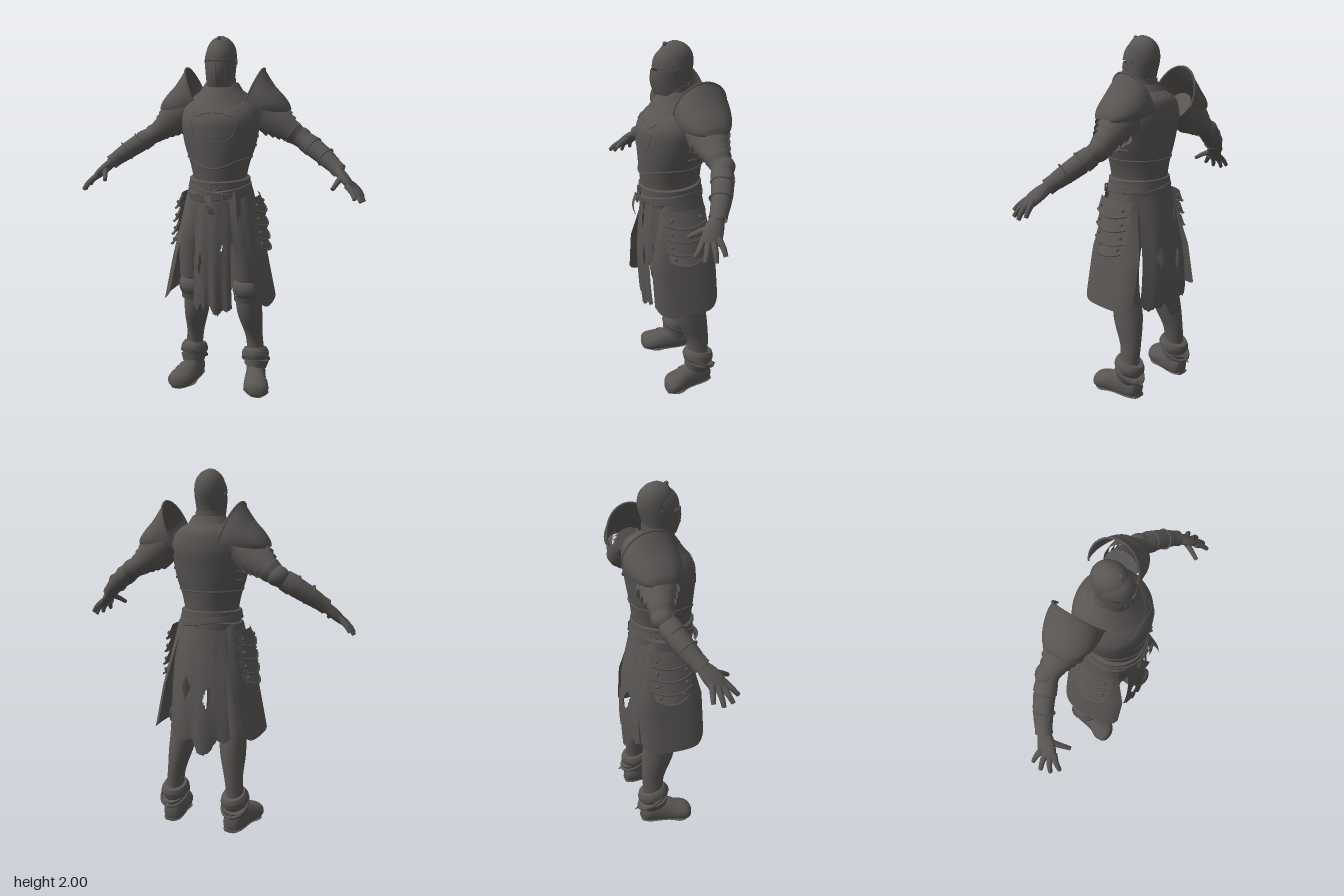
import * as THREE from 'three';
import { mergeVertices, toCreasedNormals } from 'three/addons/utils/BufferGeometryUtils.js';

const V = (x, y, z) => new THREE.Vector3(x, y, z);
const { sin, cos, PI, abs, min, max } = Math;

// refine rows of numbers with a Catmull-Rom spline
function spline(rows, k = 4) {
  const out = [], n = rows.length - 1;
  for (let i = 0; i < n; i++) for (let s = 0; s < k; s++) {
    const t = s / k, a = rows[max(i - 1, 0)], b = rows[i], c = rows[i + 1], d = rows[min(i + 2, n)];
    out.push(b.map((p, j) => 0.5 * (2 * p + (c[j] - a[j]) * t + (2 * a[j] - 5 * p + 4 * c[j] - d[j]) * t * t
      + (3 * p - a[j] - 3 * c[j] + d[j]) * t * t * t)));
  }
  return [...out, rows[n]];
}

// grid surface from fn(u, v), leaving out the cells where skip(i, j) holds
function sheet(nu, nv, fn, skip = () => false, wrap = false) {
  const pos = [], idx = [], w = wrap ? nu : nu + 1;
  for (let j = 0; j <= nv; j++) for (let i = 0; i < w; i++) pos.push(...fn(i / nu, j / nv, i, j));
  for (let j = 0; j < nv; j++) for (let i = 0; i < nu; i++) {
    if (skip(i, j)) continue;
    const a = j * w + i, d = j * w + (i + 1) % w, b = a + w, c = d + w;
    idx.push(a, b, c, a, c, d);
  }
  const g = new THREE.BufferGeometry();
  g.setAttribute('position', new THREE.Float32BufferAttribute(pos, 3));
  g.setIndex(idx);
  g.computeVertexNormals();
  return g;
}

// elliptical sections [x, y, z, ra, rb] swept along their centres
function sweep(rows, { axis, ref = V(0, 0, 1), n = 28, a0 = 0, a1 = 2 * PI, cap = true, k = 4 } = {}) {
  const r = spline(rows, k), closed = a1 - a0 > 6.28;
  if (cap && closed) {
    r.unshift([...r[0].slice(0, 3), 0.0005, 0.0005]);
    r.push([...r[r.length - 1].slice(0, 3), 0.0005, 0.0005]);
  }
  const frames = r.map((_, i) => {
    const p = r[max(i - 2, 0)], q = r[min(i + 2, r.length - 1)];
    const t = axis || V(q[0] - p[0], q[1] - p[1], q[2] - p[2]).normalize();
    const u = t.clone().cross(ref).normalize();
    return [u, u.clone().cross(t)];
  });
  const g = sheet(n, r.length - 1, (u, v, i, j) => {
    const a = a0 + (a1 - a0) * u, [x, y, z, ra, rb] = r[j];
    return V(x, y, z).addScaledVector(frames[j][0], ra * cos(a)).addScaledVector(frames[j][1], rb * sin(a)).toArray();
  }, undefined, closed);
  return toCreasedNormals(g, 0.9);
}
const up = V(0, 1, 0);
// upright sections given as [y, x, z, rx, rz]
const loft = (rows, o = {}) => sweep(rows.map(([y, x, z, a, b]) => [x, y, z, a, b]), { axis: up, ...o });
const cord = (pts, r = 0.005, closed = false) =>
  new THREE.TubeGeometry(new THREE.CatmullRomCurve3(pts, closed), pts.length * 3, r, 6, closed);

export function createModel() {
  const model = new THREE.Group();
  const steel = new THREE.MeshStandardMaterial({ color: 0x585553, side: THREE.DoubleSide });
  steel.name = 'dark steel';
  const add = (name, geo) => {
    const m = new THREE.Mesh(geo, steel);
    m.name = name;
    model.add(m);
  };
  const pair = (name, geo) => {
    add(name + 'Left', geo);
    const g = mergeVertices(geo.clone().scale(-1, 1, 1)), ix = g.index.array;
    for (let i = 0; i < ix.length; i += 3) [ix[i], ix[i + 1]] = [ix[i + 1], ix[i]];
    add(name + 'Right', g);
  };

  // cuirass with trim lines lying on its surface
  const torso = [[1.18, 0, 0.02, 0.15, 0.155], [1.25, 0, 0.02, 0.148, 0.163], [1.33, 0, 0.02, 0.165, 0.17],
    [1.42, 0, 0.015, 0.195, 0.18], [1.5, 0, 0.01, 0.21, 0.188], [1.57, 0, 0, 0.215, 0.19],
    [1.63, 0, -0.02, 0.2, 0.165], [1.68, 0, -0.045, 0.16, 0.125], [1.72, 0, -0.03, 0.1, 0.09]];
  add('cuirass', loft(torso, { n: 48 }));
  const fine = spline(torso, 8);
  const onTorso = (deg, y, off = 0.001) => {
    const i = max(0, fine.findIndex(r => r[0] > y) - 1), f = (y - fine[i][0]) / (fine[i + 1][0] - fine[i][0]);
    const r = fine[i].map((p, j) => p + (fine[i + 1][j] - p) * f), a = deg * PI / 180;
    return V(r[1] + (r[3] + off) * cos(a), y, r[2] + (r[4] + off) * sin(a));
  };
  const around = (f, n = 36) => Array.from({ length: n }, (_, i) => onTorso(i * 360 / n, f(sin(i * 2 * PI / n))));
  add('waistPlateEdge', cord(around(s => 1.36 - 0.05 * max(0, s) ** 4), 0.005, true));
  add('chestPanelEdge', cord([[55, 1.61], [63, 1.585], [76, 1.6], [90, 1.605], [104, 1.6], [117, 1.585], [125, 1.61],
    [124, 1.54], [116, 1.47], [90, 1.455], [64, 1.47], [56, 1.54]].map(p => onTorso(...p)), 0.003, true));
  for (const y of [1.42, 1.47, 1.52]) for (const a of [-18, 198])
    add('sideStrap', cord([-10, -5, 0, 5, 10].map(d => onTorso(a + d, y)), 0.006));

  // layered gorget and neck
  const collar = (y0, y1, r0, r1, dip) => sheet(40, 6, (u, v) => {
    const a = u * 2 * PI, f = max(0, sin(a)) ** 3 * (1 - v), r = r0 + (r1 - r0) * v;
    return [r * cos(a) * 1.05, y0 + (y1 - y0) * v - dip * f, -0.02 + r * sin(a) * 0.95 + 0.03 * f];
  }, undefined, true);
  add('gorgetLower', collar(1.66, 1.725, 0.155, 0.1, 0.04));
  add('gorgetMiddle', collar(1.7, 1.755, 0.118, 0.085, 0.03));
  add('neck', loft([[1.68, 0, -0.01, 0.1, 0.1], [1.72, 0, -0.005, 0.085, 0.085], [1.78, 0, -0.005, 0.078, 0.08]]));

  // helmet with brow plate and pointed visor
  add('helmet', loft([[1.74, 0, 0, 0.07, 0.075], [1.8, 0, -0.003, 0.077, 0.08], [1.88, 0, -0.01, 0.082, 0.096],
    [1.94, 0, -0.01, 0.074, 0.088], [1.98, 0, -0.008, 0.046, 0.056], [1.998, 0, -0.007, 0.012, 0.015]], { n: 36 }));
  add('visor', sheet(28, 8, (u, v) => {
    const a = PI * u, z = 0.095 + 0.022 * sin(v * 2.3);
    return [0.084 * cos(a) * (1 - 0.12 * (1 - v)), 1.735 + 0.125 * v, z * sin(a) ** 0.9 * (1 + 0.06 * sin(a) ** 8)];
  }));
  add('browPlate', sheet(28, 8, (u, v) => {
    const a = PI * u, c = cos(v * 1.35);
    return [0.085 * cos(a) * c, 1.875 + 0.105 * sin(v * 1.35), 0.112 * sin(a) * c];
  }));
  add('visorRidge', cord([V(0, 1.74, 0.103), V(0, 1.8, 0.122), V(0, 1.86, 0.12)], 0.004));
  add('visorSlitEdge', cord([-1, -0.6, 0, 0.6, 1].map(t => V(0.08 * t, 1.874, 0.11 * Math.sqrt(1 - t * t * 0.9))), 0.004));
  add('crestKnob', new THREE.SphereGeometry(0.012, 12, 8).translate(0, 1.985, 0.045));
  for (const y of [1.79, 1.81, 1.83]) for (const x of [-0.045, -0.025, 0.025, 0.045])
    add('visorRivet', new THREE.SphereGeometry(0.004, 6, 5).translate(x, y, 0.119 * Math.sqrt(1 - (x / 0.084) ** 2)));
  pair('visorPivot', new THREE.CylinderGeometry(0.014, 0.014, 0.01, 12).rotateZ(PI / 2).translate(0.083, 1.865, 0));

  // pauldrons: [cx, cy, cz, ry, rz, lean] from the standing rim to the rounded outer tip
  const shoulder = spline([[0.15, 1.67, -0.09, 0.16, 0.14, 0.068], [0.195, 1.655, -0.09, 0.13, 0.143, 0.05],
    [0.25, 1.635, -0.088, 0.1, 0.135, 0.03], [0.305, 1.62, -0.088, 0.07, 0.112, 0.018],
    [0.345, 1.61, -0.09, 0.035, 0.08, 0.012], [0.362, 1.605, -0.09, 0.008, 0.05, 0.005]]);
  const pauldronAt = (u, r) => {
    const a = (u - 0.5) * 3.6;
    return [r[0] + r[5] * cos(a), r[1] + r[3] * cos(a), r[2] + r[4] * sin(a)];
  };
  pair('pauldron', sheet(32, shoulder.length - 1, (u, v, i, j) => pauldronAt(u, shoulder[j])));
  pair('pauldronRim', cord(Array.from({ length: 17 }, (_, i) => V(...pauldronAt(i / 16, shoulder[0]))), 0.006));

  // arms with flared lames, elbow cop and vambrace
  const arm = [[0.2, 1.62, -0.08, 0.08, 0.09], [0.28, 1.56, -0.09, 0.072, 0.078], [0.36, 1.5, -0.1, 0.058, 0.062],
    [0.42, 1.46, -0.1, 0.05, 0.054], [0.5, 1.41, -0.075, 0.049, 0.052], [0.58, 1.355, -0.035, 0.041, 0.045],
    [0.655, 1.295, 0.015, 0.028, 0.032]];
  pair('arm', sweep(arm));
  const armAt = spline(arm, 20);
  const cuff = (i0, i1, o0, o1) => sweep([0, 0.5, 1].map(t => {
    const [x, y, z, a, b] = armAt[Math.round(i0 + (i1 - i0) * t)], o = o0 + (o1 - o0) * t;
    return [x, y, z, a + o, b + o];
  }), { cap: false, k: 2 });
  [[8, 24, 0.018, 0.034], [18, 31, 0.012, 0.024], [26, 38, 0.008, 0.017], [36, 45, 0.004, 0.009], [46, 56, 0.009, 0.003],
    [68, 78, 0.004, 0.008], [80, 108, 0.004, 0.007], [106, 117, 0.004, 0.012]].forEach(c => pair('armPlate', cuff(...c)));
  pair('elbowCop', new THREE.SphereGeometry(0.06, 20, 14).scale(1.05, 0.9, 0.95).translate(0.42, 1.463, -0.112));
  [[0.5, 1.415, -0.07], [0.57, 1.365, -0.035]].forEach(([x, y, z]) =>
    pair('vambraceStrap', new THREE.TorusGeometry(0.052, 0.005, 6, 24).rotateY(PI / 2)
      .applyQuaternion(new THREE.Quaternion().setFromUnitVectors(V(1, 0, 0), V(0.08, -0.055, 0.04).normalize())).translate(x, y, z)));

  // hands
  pair('palm', sweep([[0.64, 1.305, 0.005, 0.026, 0.032], [0.67, 1.275, 0.033, 0.026, 0.046], [0.7, 1.245, 0.057, 0.023, 0.05],
    [0.728, 1.217, 0.072, 0.014, 0.046]], { n: 18 }));
  [[[0.715, 1.24, 0.035], [0.755, 1.205, 0.025], [0.778, 1.17, 0.02]], [[0.718, 1.23, 0.06], [0.765, 1.19, 0.066], [0.788, 1.15, 0.07]],
    [[0.715, 1.225, 0.085], [0.755, 1.19, 0.105], [0.775, 1.155, 0.122]], [[0.7, 1.235, 0.1], [0.73, 1.205, 0.132], [0.745, 1.175, 0.16]],
    [[0.665, 1.272, 0.055], [0.648, 1.25, 0.105], [0.63, 1.222, 0.15]]].forEach(p =>
    pair('finger', sweep(p.map((q, i) => [...q, 0.017 - 0.003 * i, 0.017 - 0.003 * i]), { n: 10, ref: V(0.3, 0.5, 0.8) })));

  // legs, thigh plates, knees
  pair('leg', loft([[1.16, 0.085, 0, 0.08, 0.12], [0.95, 0.125, 0.01, 0.09, 0.115], [0.75, 0.15, 0, 0.08, 0.1],
    [0.6, 0.155, -0.025, 0.074, 0.085], [0.5, 0.155, -0.04, 0.073, 0.094], [0.42, 0.163, -0.055, 0.068, 0.09],
    [0.3, 0.178, -0.085, 0.05, 0.066], [0.2, 0.188, -0.088, 0.05, 0.06], [0.08, 0.19, -0.09, 0.055, 0.068]].reverse()));
  pair('thighPlate', loft([[0.68, 0.153, 0, 0.086, 0.108], [0.8, 0.147, 0.005, 0.092, 0.116], [0.92, 0.132, 0.01, 0.098, 0.123]], { a0: -0.4, a1: 3.5 }));
  pair('kneeCop', new THREE.SphereGeometry(1, 24, 16).scale(0.084, 0.075, 0.075).translate(0.155, 0.615, 0.015));
  [[0.7, 0.66], [0.57, 0.535]].forEach(([a, b]) => pair('kneeLame',
    loft([[b, 0.156, -0.015, 0.08, 0.09], [a, 0.155, -0.01, 0.08, 0.095]], { a0: -0.2, a1: 3.3 })));
  pair('kneeWing', new THREE.SphereGeometry(1, 16, 10).scale(0.016, 0.055, 0.05).translate(0.232, 0.61, -0.01));

  // boots with flattened soles, ankle cuffs and straps
  const boot = sweep([[0.187, 0.05, -0.16, 0.03, 0.045], [0.188, 0.05, -0.14, 0.05, 0.065], [0.193, 0.05, -0.08, 0.058, 0.09],
    [0.205, 0.048, -0.01, 0.062, 0.075], [0.22, 0.045, 0.05, 0.072, 0.06], [0.229, 0.042, 0.095, 0.07, 0.053],
    [0.233, 0.04, 0.12, 0.05, 0.042], [0.234, 0.038, 0.132, 0.02, 0.022]], { axis: V(0, 0, 1), ref: up });
  const bp = boot.attributes.position;
  for (let i = 0; i < bp.count; i++) bp.setY(i, max(0.004, bp.getY(i)));
  pair('boot', toCreasedNormals(mergeVertices(boot.deleteAttribute('normal')), 0.9));
  pair('sole', sweep([[0.187, 0.009, -0.163, 0.035, 0.009], [0.19, 0.009, -0.12, 0.055, 0.009], [0.205, 0.009, -0.01, 0.06, 0.009],
    [0.222, 0.009, 0.06, 0.075, 0.009], [0.234, 0.009, 0.125, 0.035, 0.009]], { axis: V(0, 0, 1), ref: up }));
  pair('toeBand', sweep([[0.207, 0.05, 0, 0.066, 0.077], [0.213, 0.047, 0.025, 0.071, 0.071]], { axis: V(0, 0, 1), ref: up, a0: 0.1, a1: 3.04 }));
  const tilted = (g, rx, rz, x, y, z) => g.rotateX(rx).rotateZ(rz).translate(x, y, z);
  pair('ankleCuff', tilted(loft([[-0.035, 0, 0, 0.068, 0.08], [0, 0, 0, 0.08, 0.094], [0.035, 0, 0, 0.064, 0.08]]), -0.28, 0.08, 0.187, 0.182, -0.088));
  pair('ankleBand', tilted(loft([[-0.022, 0, 0, 0.064, 0.078], [0.022, 0, 0, 0.074, 0.09]]), -0.3, -0.12, 0.192, 0.125, -0.085));
  pair('heelStrap', tilted(new THREE.TorusGeometry(1, 0.1, 8, 28).rotateX(PI / 2).scale(0.076, 0.1, 0.1), -0.55, 0.1, 0.19, 0.15, -0.09));
  pair('heelSpur', new THREE.ConeGeometry(0.02, 0.06, 8).rotateX(-PI / 2 - 0.4).translate(0.195, 0.1, -0.178));

  // belts, buckles and hanging straps
  const belt = (y, h, rx, rz, tx, tz) => tilted(loft([[-h, 0, 0, rx, rz], [-h * 0.8, 0, 0, rx + 0.007, rz + 0.007],
    [h * 0.8, 0, 0, rx + 0.005, rz + 0.005], [h, 0, 0, rx - 0.002, rz - 0.002]], { n: 40, k: 1 }), tx, tz, 0, y, 0.02);
  add('upperBelt', belt(1.225, 0.024, 0.162, 0.166, 0.04, 0));
  add('lowerBelt', belt(1.175, 0.024, 0.172, 0.17, 0.08, 0.13));
  add('crossBelt', belt(1.185, 0.016, 0.168, 0.174, 0.06, -0.16));
  [[0.01, 1.215], [-0.04, 1.15], [0.075, 1.16]].forEach(([x, y]) =>
    add('buckle', new THREE.TorusGeometry(0.026, 0.006, 4, 4).rotateZ(PI / 4).translate(x, y, 0.2)));
  [[0.1, 1.19, 0.86, 0.16], [-0.025, 1.17, 1.07, 0.21]].forEach(([x, y0, y1, z]) => add('hangingStrap', sheet(2, 8,
    (u, v) => [x + (u - 0.5) * 0.035 + 0.035 * v, y0 + (y1 - y0) * v, z + 0.015 * sin(v * PI) + 0.012 * v])));

  // padded skirt and torn cloths: rag gives the hem height across the width
  add('paddedSkirt', loft([[0.9, 0, 0.005, 0.205, 0.145], [1.0, 0, 0.01, 0.195, 0.148], [1.1, 0, 0.015, 0.18, 0.153], [1.2, 0, 0.02, 0.15, 0.153]], { cap: false, n: 40 }));
  const cloth = (top, rag, w0, w1, zAt, holes) => sheet(36, 36, (u, v, i) => {
    const s = 2 * u - 1, q = u * (rag.length - 1), k = min(rag.length - 2, Math.floor(q));
    const hem = rag[k] + (rag[k + 1] - rag[k]) * (q - k) + 0.006 * (i % 2);
    return [s * (w0 + (w1 - w0) * v) - 0.01 * v, top + (hem - top) * v, zAt(s, v)];
  }, (i, j) => holes.some(([a, b, ra, rb]) => abs(i - a) / ra + abs(j - b) / rb < 1));
  add('frontCloth', cloth(1.2, [0.54, 0.5, 0.56, 0.48, 0.55, 0.5, 0.49, 0.52, 0.51, 0.53], 0.09, 0.112,
    (s, v) => 0.178 + 0.035 * sin(v * 2.4) - 0.015 * v - 0.03 * s * s + 0.005 * sin(s * 9) * v,
    [[6, 22, 2.6, 3.5], [28, 19, 2.6, 3.5], [24, 7, 2, 2.6], [12, 35, 1.6, 3]]));
  add('backCloth', cloth(1.19, [0.56, 0.53, 0.55, 0.48, 0.46, 0.47, 0.55, 0.53, 0.54, 0.52, 0.56], 0.13, 0.18,
    (s, v) => -0.15 - 0.075 * sin(v * 2) + 0.06 * s * s + 0.006 * sin(s * 8) * v,
    [[10, 20, 3.2, 3], [25, 19, 3.2, 3.2], [6, 8, 1.6, 3]]));

  // side skirt plates with rounded lower corners, and overlapping hip lames
  pair('sideSkirt', sheet(28, 24, (u, v) => {
    const s = 2 * u - 1, w = 0.1 + 0.085 * min(1, v * 1.7), d = v * (1 - 0.09 * abs(s) ** 7);
    return [0.178 + 0.13 * d - 0.02 * s * s - 0.03 * s ** 6, 1.18 - 0.63 * d, 0.009 - s * w];
  }));
  for (let k = 0; k < 4; k++) {
    const y = 1.15 - 0.075 * k, x = 0.218 + 0.01 * k, w = k === 3 ? 0.102 : 0.122, h = k === 3 ? 0.075 : 0.09;
    const at = (s, v) => [x + 0.038 * v - 0.035 * s * s, y - h * v + 0.02 * s * s * v, 0.006 - s * w * (1 - 0.06 * v)];
    pair('hipLame', sheet(20, 4, (u, v) => at(2 * u - 1, v)));
    pair('hipLameEdge', cord([-1, -0.5, 0, 0.5, 1].map(s => V(...at(s, 1))), 0.006));
    for (const s of [-0.7, 0.7]) pair('hipRivet', new THREE.SphereGeometry(0.011, 8, 6).translate(...at(s, 0.55)));
  }
  return model;
}
